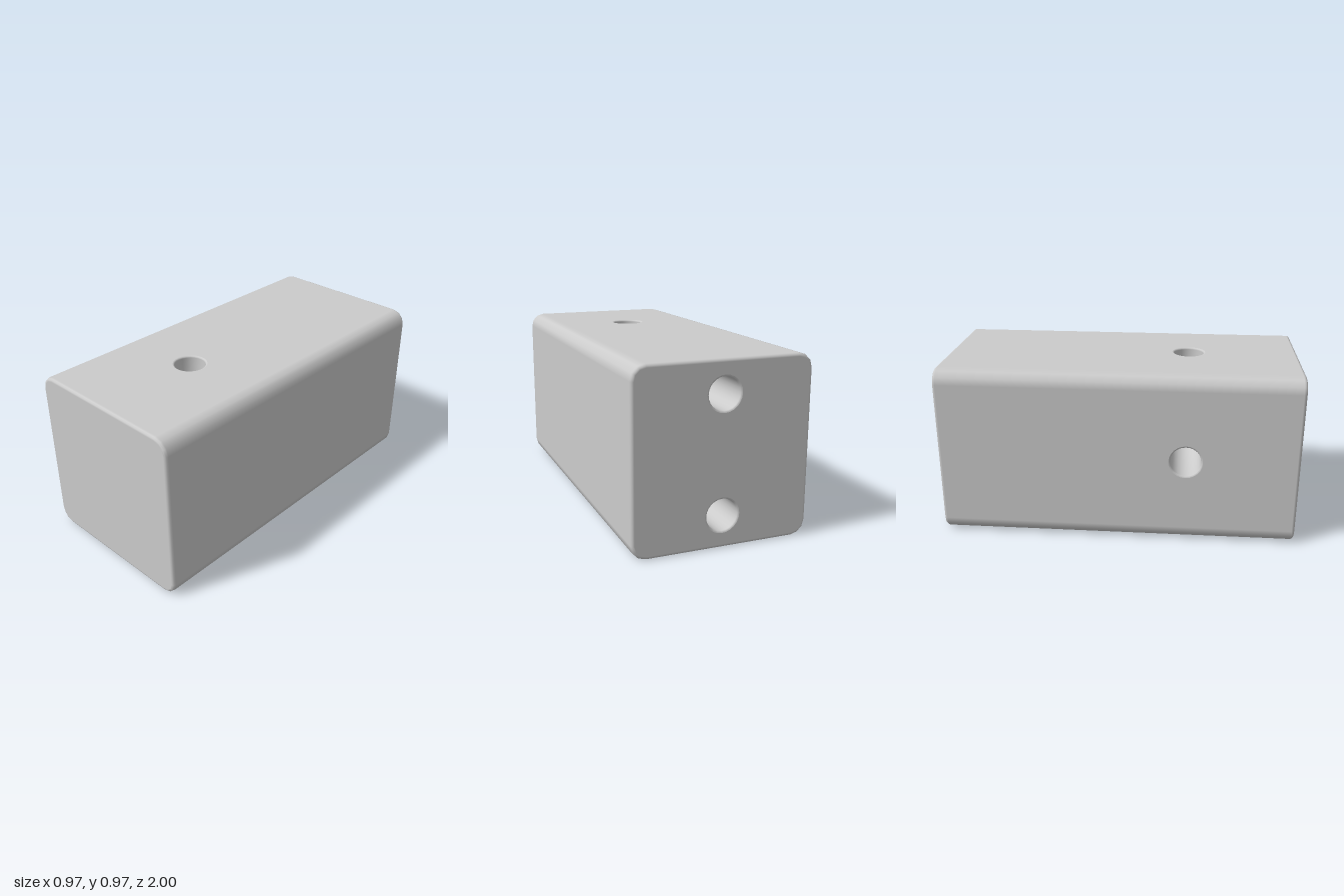
import * as THREE from 'three';

const H = 0.483;      // half width and half height
const L = 1;          // half length
const R = 0.08;       // long edge radius
const B = 0.018;      // end edge radius
const HOLE = 0.085, LIP = 0.01, DEPTH = 0.36, SIDES = 24;

const material = new THREE.MeshStandardMaterial({ color: 0xcccccc });

// Rounded square section: corner arcs of the given radius, counter-clockwise
function section(radius) {
  const pts = [];
  for (let c = 0; c < 4; c++) {
    const mid = (c + 0.5) * Math.PI / 2;
    for (let j = 0; j < 4; j++) {
      const a = c * Math.PI / 2 + j * Math.PI / 6;
      pts.push({
        x: Math.sign(Math.cos(mid)) * (H - R) + radius * Math.cos(a),
        y: Math.sign(Math.sin(mid)) * (H - R) + radius * Math.sin(a),
        a,
      });
    }
  }
  return pts;
}

// Long skin with rounded ends; the drilled top and right flats are left open
function skinGeometry() {
  const pos = [], nor = [], idx = [], steps = 3, n = 16;
  const rings = [];
  for (const s of [-1, 1]) {
    for (let i = 0; i <= steps; i++) {
      rings.push((s < 0 ? i - steps : i) / steps * Math.PI / 2 );
    }
  }
  rings.forEach((phi, i) => {
    const end = i <= steps ? -1 : 1;
    for (const p of section(R - B + B * Math.cos(phi))) {
      pos.push(p.x, p.y, end * (L - B) + B * Math.sin(phi));
      nor.push(Math.cos(phi) * Math.cos(p.a), Math.cos(phi) * Math.sin(p.a), Math.sin(phi));
    }
  });
  for (let i = 0; i < rings.length - 1; i++) {
    for (let k = 0; k < n; k++) {
      if (i === steps && (k === 3 || k === 7)) continue;
      const a = i * n + k, b = i * n + (k + 1) % n;
      idx.push(a, b, b + n, a, b + n, a + n);
    }
  }
  const g = new THREE.BufferGeometry();
  g.setAttribute('position', new THREE.Float32BufferAttribute(pos, 3));
  g.setAttribute('normal', new THREE.Float32BufferAttribute(nor, 3));
  g.setIndex(idx);
  return g;
}

// Blind drilled hole opening towards +z, with a softened lip and conical bottom
function holeGeometry() {
  const profile = [];
  for (let i = 0; i <= 3; i++) {
    const a = i / 3 * Math.PI / 2;
    profile.push(new THREE.Vector2(HOLE + LIP * (1 - Math.sin(a)), -LIP * (1 - Math.cos(a))));
  }
  profile.push(new THREE.Vector2(HOLE, -DEPTH), new THREE.Vector2(0, -DEPTH - 0.05));
  return new THREE.LatheGeometry(profile, SIDES).rotateX(Math.PI / 2);
}

// Flat face with its holes, built facing +z
function face(name, outline, holes) {
  const group = new THREE.Group();
  group.name = name;
  const shape = new THREE.Shape(outline.map(p => new THREE.Vector2(p.x, p.y)));
  for (const [x, y] of holes) {
    const rim = [];
    for (let i = 0; i < SIDES; i++) {
      const a = i / SIDES * Math.PI * 2;
      rim.push(new THREE.Vector2(x + (HOLE + LIP) * Math.cos(a), y + (HOLE + LIP) * Math.sin(a)));
    }
    shape.holes.push(new THREE.Path(rim));
    const bore = new THREE.Mesh(holeGeometry(), material);
    bore.name = name + 'Hole';
    bore.position.set(x, y, 0);
    group.add(bore);
  }
  const panel = new THREE.Mesh(new THREE.ShapeGeometry(shape), material);
  panel.name = name + 'Panel';
  group.add(panel);
  return group;
}

const rectangle = (w, h) => [
  { x: -w, y: -h }, { x: w, y: -h }, { x: w, y: h }, { x: -w, y: h },
];

export function createModel() {
  const model = new THREE.Group();
  model.name = 'drilledBlock';

  const skin = new THREE.Mesh(skinGeometry(), material);
  skin.name = 'roundedSkin';
  skin.position.y = H;

  // End faces
  const front = face('frontFace', section(R - B), []);
  front.position.set(0, H, L);
  const back = face('backFace', section(R - B), [[0, 0.31], [0, -0.31]]);
  back.position.set(0, H, -L);
  back.rotation.y = Math.PI;

  // Drilled long faces
  const top = face('topFace', rectangle(H - R, L - B), [[0, -0.38]]);
  top.position.set(0, 2 * H, 0);
  top.rotation.x = -Math.PI / 2;
  const side = face('rightFace', rectangle(L - B, H - R), [[0.38, 0]]);
  side.position.set(-H, H, 0);
  side.rotation.y = -Math.PI / 2;

  model.add(skin, front, back, top, side);
  return model;
}
